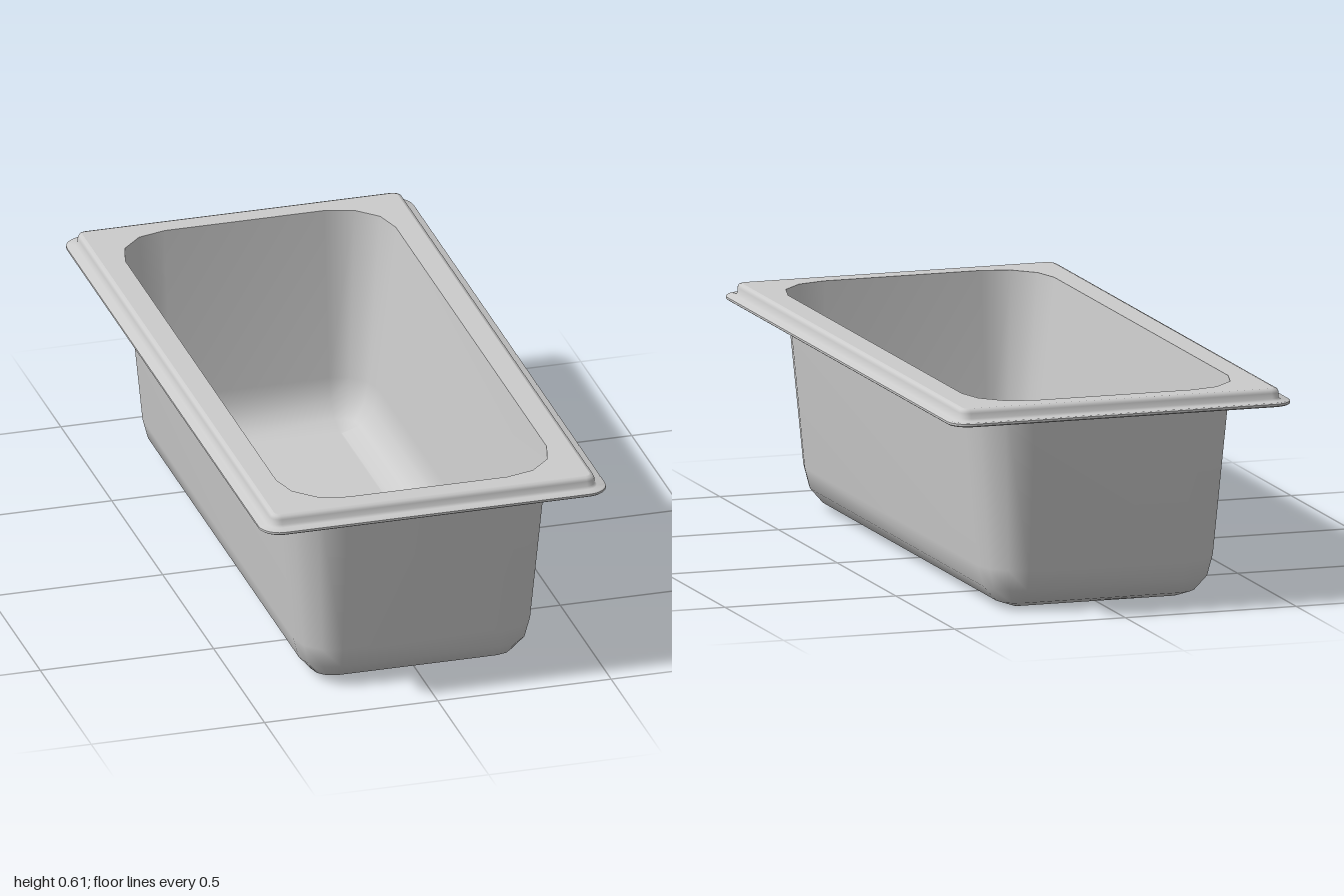
import * as THREE from 'three';
import { toCreasedNormals } from 'three/addons/utils/BufferGeometryUtils.js';

// Rounded-rectangle outline: corner centres (cx, cz), radius r, n segments per corner
function outline(cx, cz, r, n) {
  const pts = [];
  [[1, 1], [-1, 1], [-1, -1], [1, -1]].forEach(([sx, sz], q) => {
    for (let i = 0; i <= n; i++) {
      const a = (q + i / n) * Math.PI / 2;
      pts.push(new THREE.Vector2(sx * cx + r * Math.cos(a), sz * cz + r * Math.sin(a)));
    }
  });
  return pts;
}

// Skin a profile of [half width, y] around fixed corner centres; optionally close the last ring
function loft(profile, cx, cz, n, capped) {
  const pos = [], index = [], count = 4 * (n + 1);
  for (const [x, y] of profile)
    for (const p of outline(cx, cz, x - cx, n)) pos.push(p.x, y, p.y);
  for (let k = 0; k < profile.length - 1; k++)
    for (let i = 0; i < count; i++) {
      const a = k * count + i, b = k * count + (i + 1) % count;
      index.push(a, b, a + count, b, b + count, a + count);
    }
  if (capped) {
    const base = (profile.length - 1) * count;
    for (let i = 1; i < count - 1; i++) index.push(base, base + i, base + i + 1);
  }
  const geo = new THREE.BufferGeometry();
  geo.setAttribute('position', new THREE.Float32BufferAttribute(pos, 3));
  geo.setIndex(index);
  geo.computeVertexNormals();
  return geo;
}

export function createModel() {
  const group = new THREE.Group();
  const material = new THREE.MeshStandardMaterial({ color: 0xcccccc, side: THREE.DoubleSide });
  const add = (name, geo) => {
    const mesh = new THREE.Mesh(geo, material);
    mesh.name = name;
    group.add(mesh);
  };

  // Tapered basin with filleted floor
  const basin = [[0.39, 0.61], [0.341, 0.12], [0.325, 0.06], [0.288, 0.018], [0.235, 0]];
  add('basin', loft(basin, 0.23, 0.74, 3, true));

  // Flat top of the rim, with the basin opening cut out
  const top = new THREE.Shape(outline(0.44, 0.94, 0.015, 6));
  top.holes.push(new THREE.Path(outline(0.23, 0.74, 0.16, 3)));
  add('rimTop', new THREE.ShapeGeometry(top).rotateX(-Math.PI / 2).translate(0, 0.61, 0));

  // Raised shoulder of the rim and the thin flange around it
  const flange = [
    [0.455, 0.61], [0.464, 0.607], [0.468, 0.598], [0.468, 0.583], [0.475, 0.577],
    [0.496, 0.577], [0.5, 0.574], [0.5, 0.568], [0.496, 0.565], [0.473, 0.565], [0.468, 0.583],
  ];
  add('rimFlange', toCreasedNormals(loft(flange, 0.44, 0.94, 6, false), 0.9));

  return group;
}
